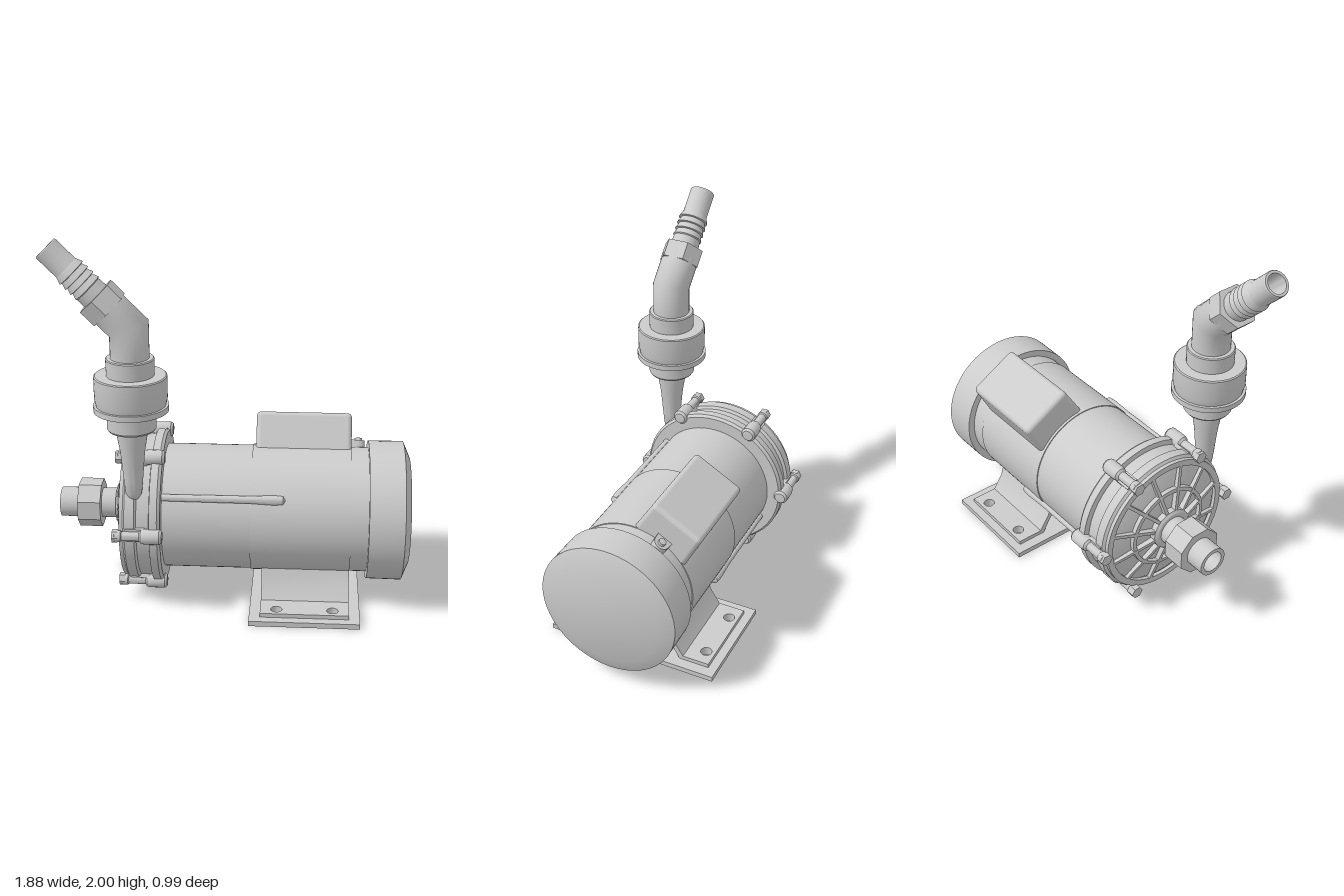
import * as THREE from 'three';
import { toCreasedNormals } from 'three/addons/utils/BufferGeometryUtils.js';
import { RoundedBoxGeometry } from 'three/addons/geometries/RoundedBoxGeometry.js';

const grey = new THREE.MeshStandardMaterial({ color: 0xcccccc, side: THREE.DoubleSide });
const PI = Math.PI;

function add(parent, name, geometry, x = 0, y = 0, z = 0) {
  const mesh = new THREE.Mesh(geometry, grey);
  mesh.name = name;
  mesh.position.set(x, y, z);
  parent.add(mesh);
  return mesh;
}

// Turned part from [radius, height] pairs, standing along y
function turned(profile, sides = 48) {
  const points = profile.map(([r, h]) => new THREE.Vector2(r, h));
  return toCreasedNormals(new THREE.LatheGeometry(points, sides), 0.5);
}

// The same, lying along x
const turnedX = (profile, sides) => turned(profile, sides).rotateZ(-PI / 2);

function rodX(r, x0, x1, sides = 16) {
  return turnedX([[0, x0], [r, x0], [r, x1], [0, x1]], sides);
}

function extruded(shape, depth) {
  return toCreasedNormals(new THREE.ExtrudeGeometry(shape, { depth, bevelEnabled: false, curveSegments: 12 }), 0.5);
}

// Plate in the x-z plane with four bolt holes
function plate(w, d, h, holeX, holeZ, r) {
  const s = new THREE.Shape();
  s.moveTo(-w / 2, -d / 2).lineTo(w / 2, -d / 2).lineTo(w / 2, d / 2).lineTo(-w / 2, d / 2).closePath();
  for (const sx of [-1, 1]) for (const sz of [-1, 1]) {
    s.holes.push(new THREE.Path().absarc(sx * holeX, sz * holeZ, r, 0, PI * 2, true));
  }
  return extruded(s, h).rotateX(-PI / 2);
}

function buildMotor(drive) {
  add(drive, 'motorBody', rodX(0.333, -0.4, 0.72, 64));
  add(drive, 'motorSleeve', rodX(0.338, 0.095, 0.62, 64));
  add(drive, 'fanCover', turnedX([[0, 0.71], [0.37, 0.71], [0.372, 0.895], [0.29, 0.93], [0, 0.935]], 64));

  // Terminal box leaning towards the back
  const box = new THREE.Group();
  box.name = 'terminalBox';
  box.rotation.x = -PI / 6;
  drive.add(box);
  const shell = new RoundedBoxGeometry(0.51, 0.26, 0.3, 4, 0.025);
  const p = shell.attributes.position;
  for (let i = 0; i < p.count; i++) p.setZ(i, p.getZ(i) * (1.03 - 0.25 * p.getY(i)));
  add(box, 'terminalBoxShell', shell, 0.365, 0.37, 0);
  const tab = new THREE.Shape().absarc(0, 0, 0.04, -PI / 2, PI / 2, false);
  tab.lineTo(-0.06, 0.045).lineTo(-0.06, -0.045).closePath();
  add(box, 'terminalBoxTab', extruded(tab, 0.06).rotateX(-PI / 2), 0.655, 0.31, 0);
  add(box, 'terminalBoxScrew', turned([[0, 0], [0.02, 0], [0.02, 0.015], [0, 0.02]], 12), 0.66, 0.37, 0);

  // Two long rods on opposite sides of the body
  for (const a of [PI / 6, PI / 6 + PI]) {
    const rod = turnedX([[0, -0.37], [0.018, -0.37], [0.02, 0.1], [0.026, 0.22], [0.022, 0.265], [0, 0.278]], 16);
    add(drive, 'tieRod', rod, 0, Math.sin(a) * 0.338, Math.cos(a) * 0.338);
  }
}

function buildPumpHead(drive) {
  add(drive, 'pumpCasing', turnedX([[0, -0.56], [0.385, -0.56], [0.4, -0.55], [0.4, -0.5], [0.385, -0.49],
    [0.385, -0.425], [0.412, -0.42], [0.412, -0.38], [0.4, -0.365], [0.33, -0.365], [0, -0.365]], 64));
  add(drive, 'frontCover', turnedX([[0, -0.6], [0.1, -0.6], [0.34, -0.565], [0.36, -0.55], [0, -0.54]], 64));
  add(drive, 'coverRim', turnedX([[0.35, -0.55], [0.35, -0.58], [0.385, -0.58], [0.385, -0.55]], 64));
  add(drive, 'coverHub', turnedX([[0, -0.64], [0.1, -0.64], [0.115, -0.63], [0.115, -0.56], [0, -0.56]], 48));
  add(drive, 'coverRing', turnedX([[0.215, -0.57], [0.215, -0.607], [0.235, -0.604], [0.235, -0.57]], 48));

  // Radial ribs sloping down from the hub to the rim
  const rib = new THREE.Shape();
  rib.moveTo(-0.635, 0.08).lineTo(-0.55, 0.08).lineTo(-0.55, 0.37).lineTo(-0.578, 0.37).closePath();
  const ribGeometry = extruded(rib, 0.018).translate(0, 0, -0.009);
  for (let i = 0; i < 12; i++) add(drive, 'coverRib', ribGeometry).rotation.x = (i + 0.5) * PI / 6;

  // Six clamping bolts in ears around the casing
  const bolt = turnedX([[0, -0.605], [0.018, -0.605], [0.03, -0.595], [0.03, -0.565], [0.024, -0.56], [0.024, -0.47],
    [0.036, -0.46], [0.04, -0.44], [0.04, -0.365], [0.03, -0.352], [0, -0.35]], 16);
  const ear = new THREE.BoxGeometry(0.1, 0.07, 0.07);
  for (let i = 0; i < 6; i++) {
    const a = i * PI / 3, y = Math.sin(a), z = Math.cos(a);
    add(drive, 'clampBolt', bolt, 0, y * 0.413, z * 0.413);
    add(drive, 'clampEar', ear, -0.495, y * 0.37, z * 0.37).rotation.x = -a;
    add(drive, 'boltHead', rodX(0.034, -0.595, -0.565, 6), -0.015, y * 0.41, z * 0.41);
  }

  // Inlet pipe with bore and union nut
  add(drive, 'inletPipe', turnedX([[0, -0.78], [0.058, -0.78], [0.058, -0.945], [0.08, -0.945], [0.08, -0.6]], 32));
  add(drive, 'inletNut', rodX(0.131, -0.843, -0.72, 8).rotateX(PI / 8));
}

function buildFoot(root) {
  const foot = new THREE.Group();
  foot.name = 'foot';
  foot.position.set(0.387, 0, -0.027);
  root.add(foot);
  add(foot, 'basePlate', plate(0.58, 0.945, 0.028, 0.147, 0.375, 0.03));

  // Bent saddle bracket, mirrored front to back
  for (const s of [-1, 1]) {
    const leg = new THREE.Shape();
    leg.moveTo(s * 0.28, 0.028).lineTo(s * 0.26, 0.028).lineTo(s * 0.205, 0.12).lineTo(s * 0.13, 0.125);
    leg.lineTo(s * 0.13, 0.19).lineTo(s * 0.2, 0.22).lineTo(s * 0.225, 0.135).lineTo(s * 0.28, 0.05).closePath();
    add(foot, 'saddleLeg', extruded(leg, 0.465).rotateY(-PI / 2), 0.2325);
    const strip = new THREE.Shape();
    strip.moveTo(-0.2325, 0.265).lineTo(0.2325, 0.265).lineTo(0.2325, 0.425).lineTo(-0.2325, 0.425).closePath();
    for (const x of [-0.147, 0.147]) strip.holes.push(new THREE.Path().absarc(x, 0.375, 0.03, 0, PI * 2, true));
    const flange = add(foot, 'saddleFlange', extruded(strip, 0.022).rotateX(-PI / 2), 0, 0.028);
    flange.rotation.y = s > 0 ? PI : 0;
  }
}

function buildOutlet(root) {
  const outlet = new THREE.Group();
  outlet.name = 'outlet';
  outlet.position.set(-0.502, 0, 0.303);
  root.add(outlet);
  add(outlet, 'spout', turned([[0, 0.64], [0.025, 0.65], [0.042, 0.68], [0.05, 0.76], [0.062, 0.9], [0.078, 1.0], [0.08, 1.04]], 32));
  add(outlet, 'lowerCollar', turned([[0, 1.03], [0.118, 1.03], [0.125, 1.04], [0.125, 1.14]]));
  add(outlet, 'unionNut', turned([[0, 1.135], [0.19, 1.135], [0.19, 1.165], [0.176, 1.165], [0.184, 1.2],
    [0.184, 1.315], [0.178, 1.32], [0, 1.32]]));
  add(outlet, 'upperCollar', turned([[0.12, 1.31], [0.122, 1.405], [0.117, 1.41], [0, 1.41]]));

  // Elbow: a three-ring cylinder with a mitred middle ring and a top ring tilted 45 degrees
  const bend = 1.56, r = 0.098, elbow = new THREE.CylinderGeometry(r, r, 2, 32, 2, true);
  const p = elbow.attributes.position;
  for (let i = 0; i < p.count; i++) {
    const x = p.getX(i), level = Math.round(p.getY(i)), k = Math.SQRT1_2;
    if (level < 0) p.setY(i, 1.4);
    else if (level === 0) p.setY(i, bend + x * Math.tan(PI / 8));
    else p.setXY(i, (x - 0.16) * k, bend + (x + 0.16) * k);
  }
  add(outlet, 'elbow', toCreasedNormals(elbow, 0.9));

  // Hose tail on the slanted end of the elbow
  const tail = new THREE.Group();
  tail.name = 'hoseTail';
  tail.position.y = bend;
  tail.rotation.z = PI / 4;
  outlet.add(tail);
  add(tail, 'hexCollar', turned([[0, 0.13], [0.112, 0.13], [0.112, 0.225], [0, 0.225]], 6));
  const profile = [[0.076, 0.22], [0.074, 0.275]];
  for (let i = 0; i < 4; i++) profile.push([0.08, 0.28 + i * 0.035], [0.068, 0.312 + i * 0.035]);
  profile.push([0.066, 0.42], [0.066, 0.553], [0.063, 0.558], [0.05, 0.558], [0.05, 0.35], [0, 0.35]);
  add(tail, 'barbedNozzle', turned(profile, 32));
}

export function createModel() {
  const root = new THREE.Group();
  root.name = 'pump';
  const drive = new THREE.Group();
  drive.name = 'drive';
  drive.position.set(0, 0.47, -0.025);
  root.add(drive);
  buildMotor(drive);
  buildPumpHead(drive);
  buildFoot(root);
  buildOutlet(root);
  return root;
}
